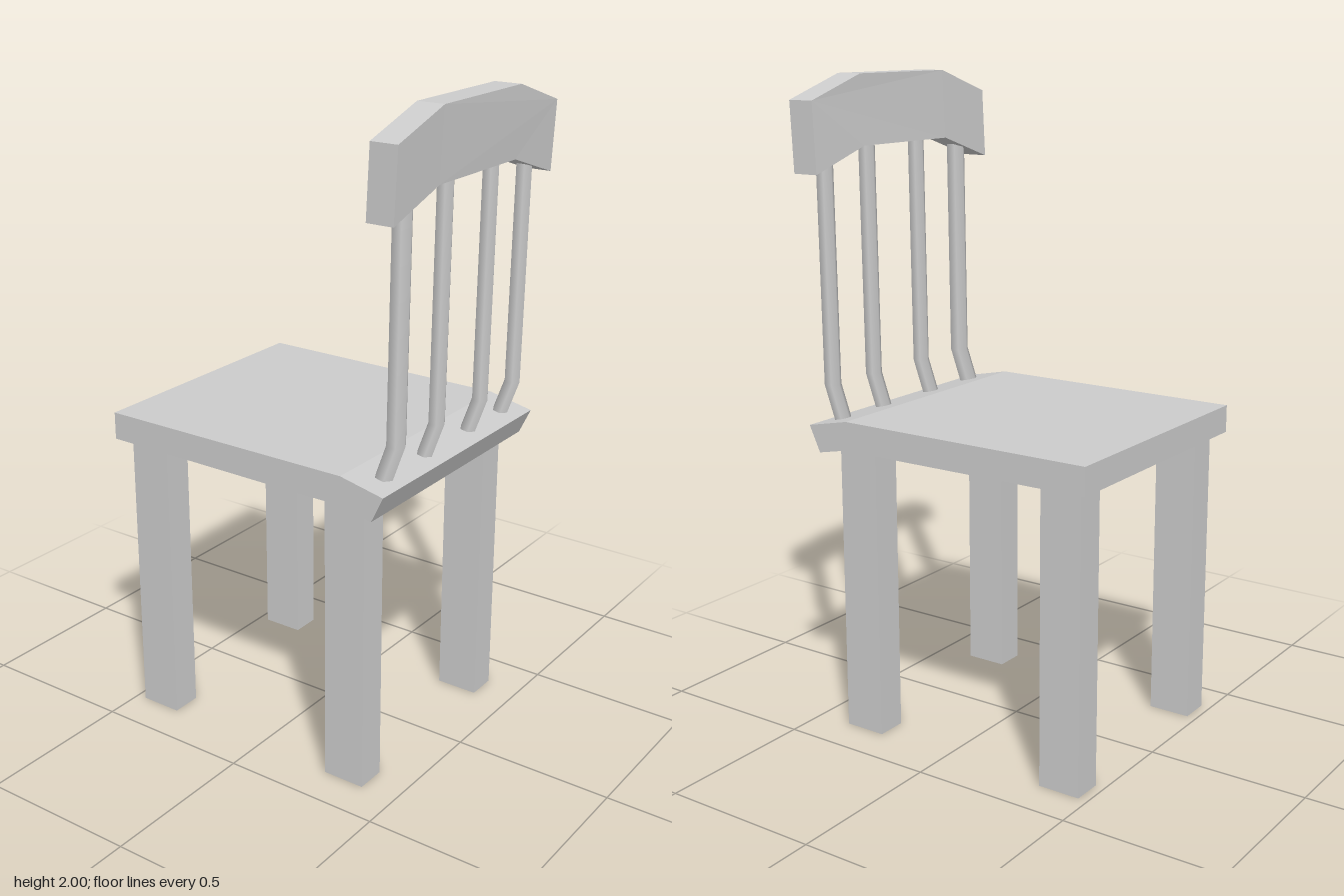
import * as THREE from 'three';

const material = new THREE.MeshStandardMaterial({ color: 0xcccccc, flatShading: true });
const smoothMaterial = new THREE.MeshStandardMaterial({ color: 0xcccccc });

// Flat outline extruded to a depth centred on z = 0
function slab(points, depth) {
  const shape = new THREE.Shape(points.map(([x, y]) => new THREE.Vector2(x, y)));
  const geometry = new THREE.ExtrudeGeometry(shape, { depth, bevelEnabled: false });
  return geometry.translate(0, 0, -depth / 2);
}

// Spindle: a slim prism whose lowest ring is pulled forward to make the bend
function spindleGeometry(radius) {
  const rings = [[0.44, 0.455], [0, 0.446], [-0.44, 0.401]]; // [ring y, centre z]
  const heights = [1.82, 1.085, 0.96];
  const geometry = new THREE.CylinderGeometry(radius, radius, 0.88, 6, 2);
  const p = geometry.attributes.position;
  for (let i = 0; i < p.count; i++) {
    const k = rings.findIndex(([y]) => Math.abs(y - p.getY(i)) < 0.01);
    p.setY(i, heights[k]);
    p.setZ(i, p.getZ(i) * 0.95 + rings[k][1]);
  }
  return geometry;
}

export function createModel() {
  const group = new THREE.Group();
  const add = (name, geometry, mat = material) => {
    const mesh = new THREE.Mesh(geometry, mat);
    mesh.name = name;
    group.add(mesh);
    return mesh;
  };

  // Seat: side profile in (z, y), dipping at the backrest edge
  const seat = slab([
    [-0.505, 0.915], [0.12, 0.912], [0.33, 0.912], [0.434, 0.89],
    [0.472, 0.97], [0.33, 1], [-0.505, 1],
  ], 0.823);
  add('seat', seat.rotateY(-Math.PI / 2));

  // Four square legs
  for (const x of [-0.327, 0.323]) {
    for (const z of [-0.402, 0.319]) {
      add('leg', new THREE.BoxGeometry(0.095, 0.92, 0.134)).position.set(x, 0.46, z);
    }
  }

  // Backrest spindles, the first slightly thicker
  [-0.311, -0.103, 0.137, 0.33].forEach((x, i) => {
    add('spindle', spindleGeometry(i === 0 ? 0.031 : 0.027), smoothMaterial).position.x = x;
  });

  // Top rail: arched band, leaning slightly
  const rail = slab([
    [-0.415, 1.72], [-0.2, 1.79], [0.2, 1.79], [0.415, 1.72],
    [0.415, 1.93], [0.2, 2], [-0.2, 2], [-0.415, 1.93],
  ], 0.085);
  const p = rail.attributes.position;
  for (let i = 0; i < p.count; i++) {
    const lower = p.getY(i) < 1.85;
    p.setZ(i, p.getZ(i) + (lower ? 0.453 : 0.463));
  }
  rail.computeVertexNormals();
  add('topRail', rail);

  return group;
}
